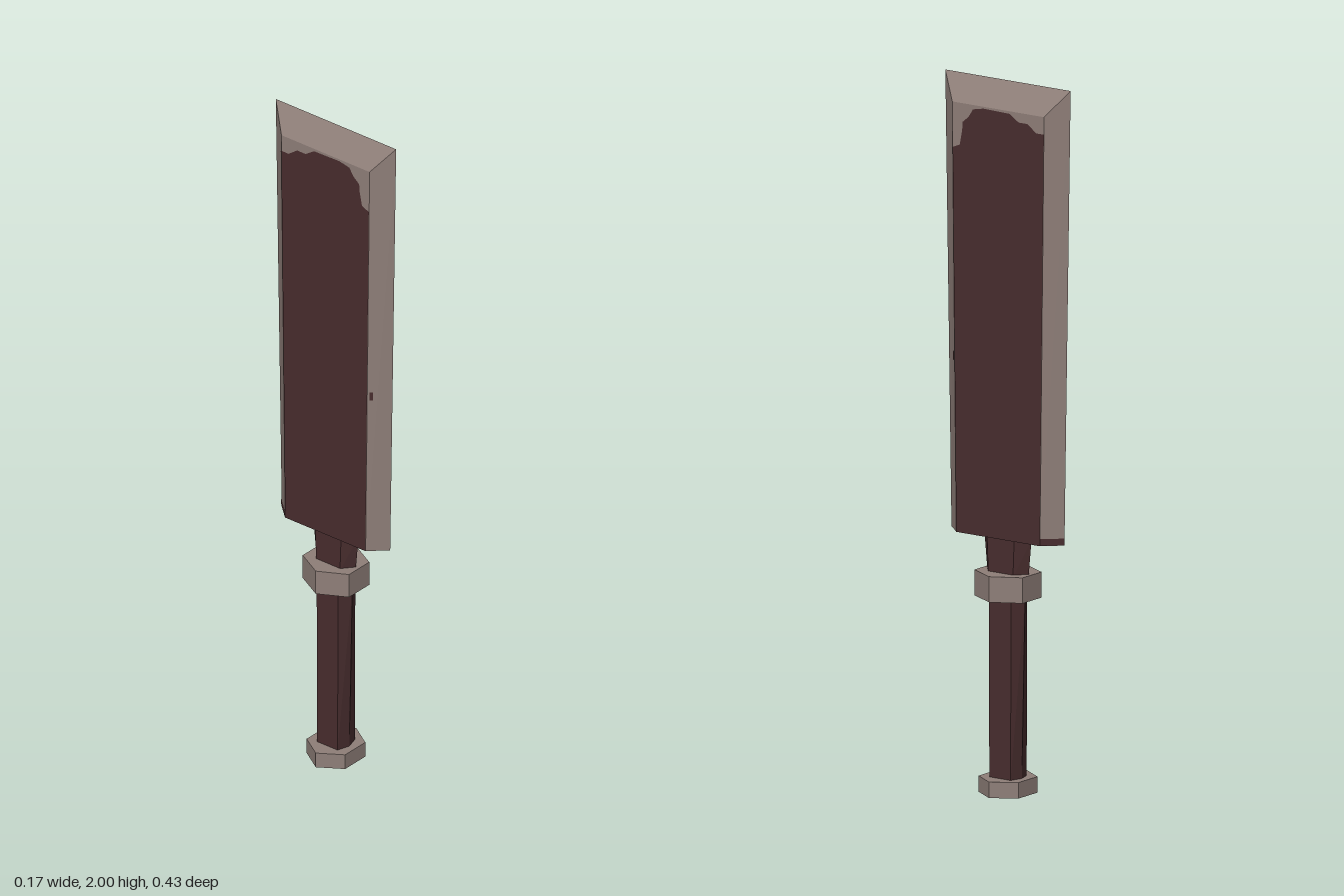
import * as THREE from 'three';

const steel = new THREE.MeshStandardMaterial({ color: 0x8f7f79 });
steel.name = 'worn steel';
const maroon = new THREE.MeshStandardMaterial({ color: 0x482d2e });
maroon.name = 'dark maroon';

// Flat-shaded mesh from convex polygons, each turned to face away from the centre
function facets(name, material, polygons, centreY) {
  const centre = new THREE.Vector3(0, centreY, 0);
  const positions = [];
  for (const polygon of polygons) {
    const p = polygon.map((c) => new THREE.Vector3(...c));
    const middle = p.reduce((s, v) => s.add(v), new THREE.Vector3()).divideScalar(p.length);
    const normal = p[1].clone().sub(p[0]).cross(p[2].clone().sub(p[0]));
    if (normal.dot(middle.sub(centre)) < 0) p.reverse();
    for (let i = 1; i < p.length - 1; i++) {
      for (const v of [p[0], p[i], p[i + 1]]) positions.push(v.x, v.y, v.z);
    }
  }
  const geometry = new THREE.BufferGeometry();
  geometry.setAttribute('position', new THREE.Float32BufferAttribute(positions, 3));
  geometry.computeVertexNormals();
  const mesh = new THREE.Mesh(geometry, material);
  mesh.name = name;
  return mesh;
}

// Six-sided section: flats at +-x, points at +-z (the points may sit higher)
function section(x, flatZ, pointZ, y, pointY = y) {
  return [
    [x, y, -flatZ], [x, y, flatZ], [0, pointY, pointZ],
    [-x, y, flatZ], [-x, y, -flatZ], [0, pointY, -pointZ],
  ];
}

function walls(a, b) {
  return a.map((p, i) => {
    const j = (i + 1) % a.length;
    return [p, a[j], b[j], b[i]];
  });
}

function hexNut(name, y0, y1, rx, rz) {
  const geometry = new THREE.CylinderGeometry(1, 1, y1 - y0, 6).toNonIndexed();
  geometry.rotateY(Math.PI / 6);
  geometry.scale(rx, 1, rz / Math.cos(Math.PI / 6));
  geometry.computeVertexNormals();
  const mesh = new THREE.Mesh(geometry, steel);
  mesh.name = name;
  mesh.position.y = (y0 + y1) / 2;
  return mesh;
}

export function createModel() {
  const group = new THREE.Group();
  group.name = 'broadBlade';

  // Blade with bevelled sides and a roof-shaped tip
  const base = section(0.045, 0.142, 0.192, 0.72);
  const tip = section(0.045, 0.156, 0.213, 1.927, 2);
  const roof = [[tip[0], tip[1], tip[2], tip[5]], [tip[3], tip[4], tip[5], tip[2]]];
  group.add(facets('blade', steel, [...walls(base, tip), ...roof], 1.36));
  group.add(facets('bladeBase', maroon, [base], 1.36));

  // Painted panels with a ragged upper edge, as [z, y]
  const outline = [
    [0.142, 0.72], [0.154, 1.8], [0.13, 1.81], [0.122, 1.85], [0.12, 1.875],
    [0.1, 1.892], [0.085, 1.915], [0.05, 1.922], [-0.04, 1.92], [-0.07, 1.9],
    [-0.1, 1.9], [-0.13, 1.878], [-0.156, 1.878], [-0.142, 0.72],
  ];
  for (const side of [1, -1]) {
    const shape = new THREE.Shape(outline.map(([z, y]) => new THREE.Vector2(-side * z, y)));
    const panel = new THREE.Mesh(new THREE.ShapeGeometry(shape), maroon);
    panel.name = side > 0 ? 'leftPanel' : 'rightPanel';
    panel.rotation.y = side * Math.PI / 2;
    panel.position.x = side * 0.046;
    group.add(panel);

    // Small stains lying on the bevels; t runs from the flat to the cutting edge
    const onBevel = (t, y, end) => {
      const flatZ = 0.142 + (y - 0.72) * 0.0116;
      const pointZ = 0.192 + (y - 0.72) * 0.0164;
      const z = flatZ + (pointZ - flatZ) * t + 0.001;
      return [side * (0.045 * (1 - t) + 0.001), y, end * z];
    };
    const stain = (name, t0, t1, y0, y1, end) => facets(name, maroon, [[
      onBevel(t0, y0, end), onBevel(t1, y0, end), onBevel(t1, y1, end), onBevel(t0, y1, end),
    ]], 1.36);
    group.add(stain('baseStain', 0, 1, 0.721, 0.74, -1));
    group.add(stain('edgeNick', 0.08, 0.22, 1.2, 1.225, 1));
  }

  // Tapered six-sided grip, running through the guard into the blade
  const rings = [
    section(0.037, 0.036, 0.047, 0.04),
    section(0.037, 0.038, 0.058, 0.56),
    section(0.034, 0.042, 0.07, 0.615),
    section(0.034, 0.046, 0.08, 0.721),
  ];
  for (let i = 0; i < 3; i++) {
    const middle = (rings[i][0][1] + rings[i + 1][0][1]) / 2;
    group.add(facets('grip' + (i + 1), maroon, walls(rings[i], rings[i + 1]), middle));
  }

  // Guard and pommel
  group.add(hexNut('guard', 0.55, 0.622, 0.087, 0.082));
  group.add(hexNut('pommel', 0, 0.045, 0.087, 0.068));
  return group;
}
